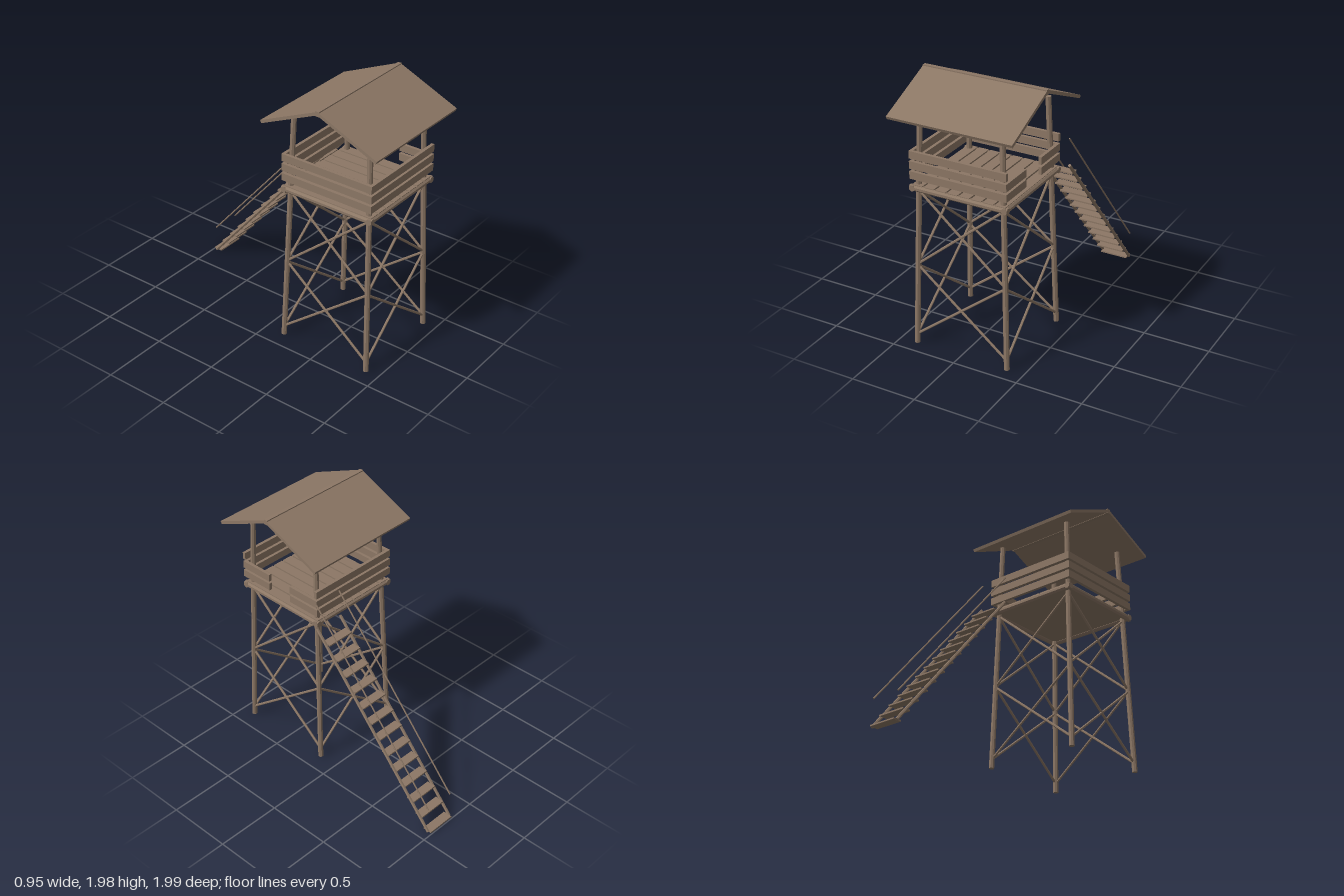
import * as THREE from 'three';

const wood = new THREE.MeshStandardMaterial({ color: 0x8c7765, flatShading: true });
wood.name = 'weathered wood';

const CZ = 0.525; // centre of the tower along z

function box(name, w, h, d, x, y, z) {
  const m = new THREE.Mesh(new THREE.BoxGeometry(w, h, d), wood);
  m.name = name;
  m.position.set(x, y, z);
  return m;
}

// Round pole between two points
function pole(name, a, b, r, sides = 8) {
  const p = new THREE.Vector3(...a), q = new THREE.Vector3(...b);
  const dir = q.clone().sub(p);
  const geo = new THREE.CylinderGeometry(r, r, dir.length(), sides);
  geo.rotateY(Math.PI / sides);
  const m = new THREE.Mesh(geo, wood);
  m.name = name;
  m.position.copy(p).add(q).multiplyScalar(0.5);
  m.quaternion.setFromUnitVectors(new THREE.Vector3(0, 1, 0), dir.normalize());
  return m;
}

function namedGroup(name, parent) {
  const g = new THREE.Group();
  g.name = name;
  parent.add(g);
  return g;
}

// Distance of the leaning legs from the tower axis at height y
const lean = (y) => 0.366 - 0.0295 * y;

export function createModel() {
  const model = new THREE.Group();
  model.name = 'watchtower';

  // Everything square to the tower axis lives in this group
  const tower = namedGroup('tower', model);
  tower.position.z = CZ;

  // Legs
  const legs = namedGroup('legs', tower);
  for (const sx of [-1, 1]) for (const sz of [-1, 1]) {
    const b = lean(0), t = lean(1.8);
    legs.add(pole('leg', [sx * b, 0.01, sz * b], [sx * t, 1.795, sz * t], 0.0205));
  }

  // Crossed braces, two tiers on each side
  const braces = namedGroup('braces', tower);
  for (let i = 0; i < 4; i++) {
    const side = namedGroup('braceSide', braces);
    side.rotation.y = i * Math.PI / 2;
    for (const [y0, y1] of [[0.08, 0.635], [0.645, 1.21]]) {
      const a = lean(y0), b = lean(y1);
      for (const s of [-1, 1]) side.add(pole('brace', [-s * a, y0, a], [s * b, y1, b], 0.0095, 6));
    }
  }

  // Platform: edge logs, base and floor planks
  const platform = namedGroup('platform', tower);
  for (const s of [-1, 1]) {
    platform.add(pole('edgeLog', [-0.38, 1.237, s * 0.358], [0.38, 1.237, s * 0.358], 0.023));
    platform.add(pole('edgeLog', [s * 0.358, 1.237, -0.38], [s * 0.358, 1.237, 0.38], 0.023));
  }
  platform.add(box('floorBase', 0.71, 0.014, 0.71, 0, 1.238, 0));
  for (let i = 0; i < 8; i++) {
    platform.add(box('floorPlank', 0.08, 0.018, 0.735, (i - 3.5) * 0.092, 1.254, 0));
  }

  // Railing boards; the left side has an opening and only two rows
  const railing = namedGroup('railing', tower);
  [1.333, 1.408, 1.483].forEach((y, row) => {
    for (const s of [-1, 1]) railing.add(box('railBoard', 0.75, 0.056, 0.024, 0, y, s * 0.363));
    railing.add(box('railBoard', 0.024, 0.056, 0.74, -0.363, y, 0));
    if (row < 2) {
      for (const s of [-1, 1]) railing.add(box('shortRailBoard', 0.024, 0.056, 0.265, 0.363, y, s * 0.2375));
    }
  });

  // Gable roof with ridge beam
  const roof = namedGroup('roof', tower);
  const rise = 0.205, run = 0.47, angle = Math.atan2(rise, run);
  for (const s of [-1, 1]) {
    const panel = box('roofPanel', 0.95, 0.023, Math.hypot(rise, run), 0, 1.975 - rise / 2, s * run / 2);
    panel.position.y -= 0.004;
    panel.rotation.x = s * angle;
    roof.add(panel);
  }
  roof.add(box('ridgeBeam', 0.95, 0.036, 0.03, 0, 1.967, 0));

  // Stair ladder with flat treads and thin handrails
  const ladder = namedGroup('ladder', model);
  for (const x of [0.196, 0.424]) {
    ladder.add(pole('ladderRail', [x, 0.015, -0.97], [x, 1.255, 0.1], 0.012, 6));
    ladder.add(pole('handrail', [x, 0.22, -0.968], [x, 1.463, 0.107], 0.006, 6));
  }
  for (let i = 0; i < 13; i++) {
    const t = i / 12;
    ladder.add(box('tread', 0.22, 0.011, 0.07, 0.31, 0.018 + 1.147 * t, -0.96 + 0.975 * t));
  }

  return model;
}
